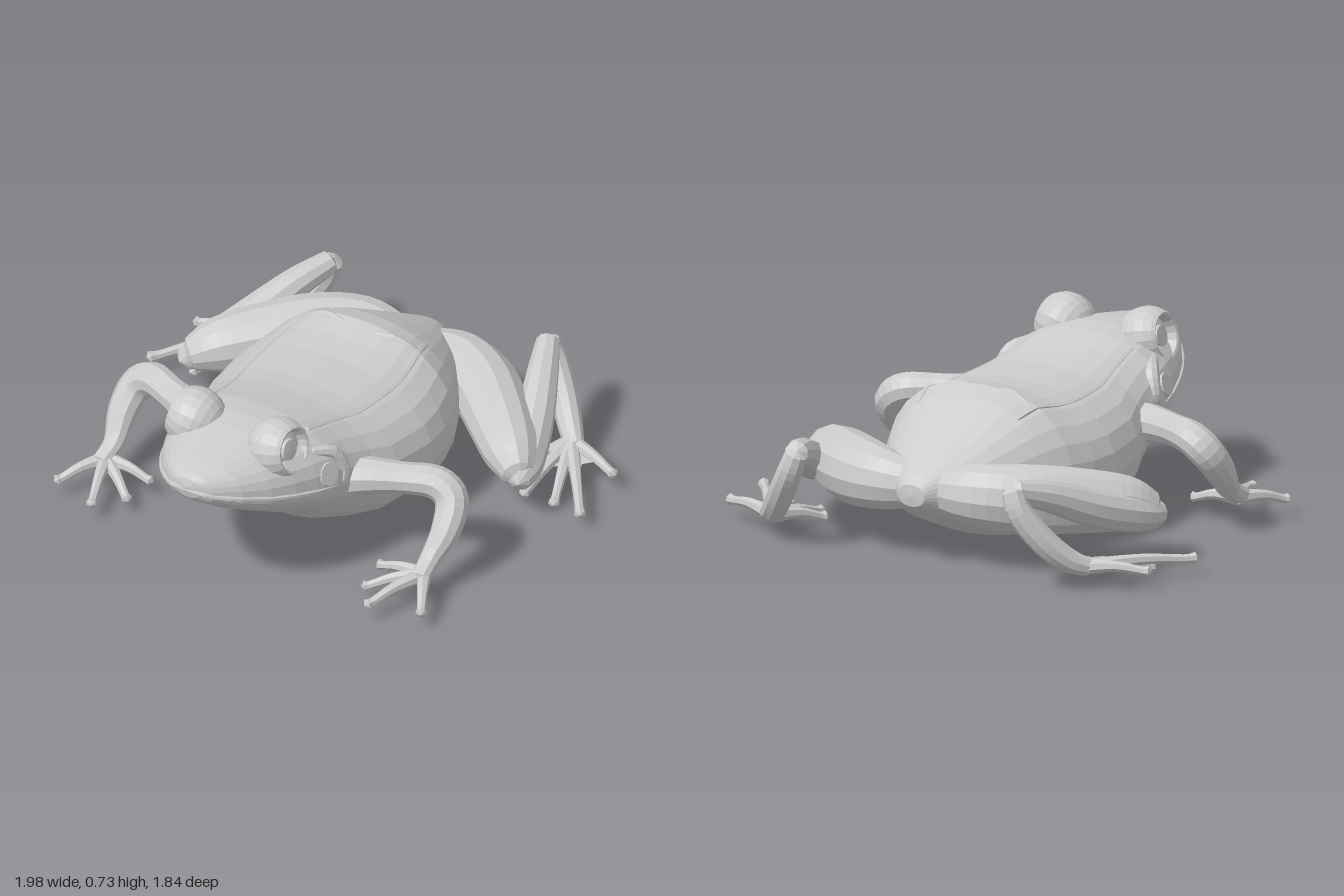
import * as THREE from 'three';

const V = (x, y, z) => new THREE.Vector3(x, y, z);
const grey = new THREE.MeshStandardMaterial({ color: 0xcccccc, flatShading: true });
const thin = new THREE.MeshStandardMaterial({ color: 0xcccccc, flatShading: true, side: THREE.DoubleSide });

// skin a list of equal-length rings, closing each end with a pole point
function loft(rings, startPole, endPole) {
  const n = rings[0].length, pos = [], idx = [];
  rings.flat().forEach(p => pos.push(p.x, p.y, p.z));
  const first = pos.length / 3, last = first + 1, end = (rings.length - 1) * n;
  pos.push(startPole.x, startPole.y, startPole.z, endPole.x, endPole.y, endPole.z);
  for (let i = 0; i < rings.length - 1; i++) {
    for (let j = 0; j < n; j++) {
      const a = i * n + j, b = i * n + (j + 1) % n;
      idx.push(a, a + n, b, b, a + n, b + n);
    }
  }
  for (let j = 0; j < n; j++) {
    const k = (j + 1) % n;
    idx.push(first, j, k, last, end + k, end + j);
  }
  const g = new THREE.BufferGeometry();
  g.setAttribute('position', new THREE.Float32BufferAttribute(pos, 3));
  g.setIndex(idx);
  g.computeVertexNormals();
  return g;
}

// tapered limb through points [x, y, z, radius], mirrored by s
function limb(pts, s, sides = 10, perSpan = 4) {
  const path = new THREE.CatmullRomCurve3(pts.map(p => V(p[0] * s, p[1], p[2])), false, 'catmullrom', 0.5);
  const radius = new THREE.CatmullRomCurve3(pts.map(p => V(p[3], 0, 0)), false, 'catmullrom', 0.5);
  const steps = (pts.length - 1) * perSpan, rings = [], normal = V(0, 1, 0);
  for (let i = 0; i <= steps; i++) {
    const t = i / steps, c = path.getPoint(t), T = path.getTangent(t), r = radius.getPoint(t).x;
    normal.addScaledVector(T, -T.dot(normal)).normalize();
    const B = T.clone().cross(normal);
    rings.push(Array.from({ length: sides }, (_, j) => {
      const a = j / sides * Math.PI * 2;
      return c.clone().addScaledVector(normal, r * Math.cos(a)).addScaledVector(B, -r * Math.sin(a));
    }));
  }
  const pole = (t, d) => path.getPoint(t).addScaledVector(path.getTangent(t), d * radius.getPoint(t).x * 0.6);
  return loft(rings, pole(0, -1), pole(1, 1));
}

// body sections: z, half width, top, widest height, bottom
const SECTIONS = [
  [0.905, 0.05, 0.6, 0.55, 0.515], [0.88, 0.1, 0.612, 0.535, 0.49], [0.8, 0.183, 0.63, 0.51, 0.43],
  [0.7, 0.252, 0.645, 0.48, 0.37], [0.6, 0.3, 0.66, 0.455, 0.31], [0.5, 0.335, 0.665, 0.43, 0.255],
  [0.4, 0.36, 0.654, 0.41, 0.185], [0.3, 0.375, 0.628, 0.37, 0.105], [0.2, 0.4, 0.605, 0.33, 0.056],
  [0.1, 0.44, 0.59, 0.29, 0.028], [-0.1, 0.465, 0.583, 0.27, 0.013], [-0.22, 0.45, 0.592, 0.26, 0.015],
  [-0.33, 0.418, 0.612, 0.26, 0.025], [-0.42, 0.375, 0.582, 0.26, 0.045], [-0.5, 0.33, 0.537, 0.26, 0.08],
  [-0.6, 0.27, 0.475, 0.265, 0.12], [-0.7, 0.185, 0.415, 0.27, 0.17], [-0.79, 0.09, 0.36, 0.285, 0.22],
  [-0.825, 0.06, 0.33, 0.285, 0.245]];

function skinPoint([z, w, top, mid, bottom], a) {
  const c = Math.cos(a), sn = Math.sin(a), e = sn > 0 ? 0.88 : 0.95;
  const x = w * Math.sign(c) * Math.abs(c) ** e;
  const y = mid + (sn > 0 ? top - mid : mid - bottom) * Math.sign(sn) * Math.abs(sn) ** e;
  return V(x, y, z);
}

export function createModel() {
  const model = new THREE.Group();
  model.name = 'frog';
  const add = (name, geometry, parent = model, material = grey) => {
    const m = new THREE.Mesh(geometry, material);
    m.name = name;
    parent.add(m);
    return m;
  };

  // torso and head in one skin
  const rings = SECTIONS.map(sec => Array.from({ length: 28 }, (_, j) => skinPoint(sec, j / 28 * Math.PI * 2)));
  add('body', loft(rings, V(0, 0.565, 0.917), V(0, 0.285, -0.83)));

  // lip running round the snout, fading out at the jaw corners
  const lipSide = s => SECTIONS.slice(0, 7).map((sec, i) => [(sec[1] - 0.003) * s, sec[3], sec[0], i === 6 ? 0.003 : 0.01]);
  add('lip', limb([...lipSide(-1).reverse(), ...lipSide(1)], 1, 6, 2));

  for (const s of [1, -1]) {
    const side = s > 0 ? 'left' : 'right';
    const group = name => {
      const g = new THREE.Group();
      g.name = side + name;
      model.add(g);
      return g;
    };

    // eye: domed lid with a wide rim, deep recess and raised pupil
    const profile = [];
    for (let i = 0; i <= 8; i++) {
      const a = -Math.PI / 2 + i / 8 * (Math.PI / 2 + 0.6);
      profile.push(new THREE.Vector2(Math.max(0, 0.122 * Math.cos(a)), 0.122 * Math.sin(a)));
    }
    [[0.09, 0.082], [0.08, 0.078], [0.07, 0.042], [0.045, 0.05], [0.04, 0.06], [0, 0.062]]
      .forEach(p => profile.push(new THREE.Vector2(...p)));
    const eye = add(side + 'Eye', new THREE.LatheGeometry(profile, 18));
    eye.position.set(0.187 * s, 0.613, 0.56);
    eye.quaternion.setFromUnitVectors(V(0, 1, 0), V(s, 0.22, 0.08).normalize());

    // eardrum with the fold above it, nostril, back fold and hip bump
    const ear = add(side + 'Eardrum', new THREE.CylinderGeometry(0.045, 0.056, 0.03, 12));
    ear.position.set(0.332 * s, 0.475, 0.44);
    ear.quaternion.setFromUnitVectors(V(0, 1, 0), V(s, 0.35, 0.2).normalize());
    add(side + 'EarFold', limb([[0.27, 0.565, 0.46, 0.02], [0.315, 0.535, 0.38, 0.03], [0.348, 0.46, 0.35, 0.026], [0.355, 0.41, 0.37, 0.012]], s, 8, 3));
    add(side + 'Nostril', limb([[0.075, 0.592, 0.85, 0.008], [0.085, 0.598, 0.82, 0.013], [0.1, 0.6, 0.78, 0.007]], s, 6, 2));
    const fold = SECTIONS.slice(6, 14).map(sec => {
      const p = skinPoint(sec, 1.0);
      return [p.x, p.y - 0.013, p.z, 0.016];
    });
    add(side + 'BackFold', limb(fold, s, 6, 2));
    add(side + 'HipBump', limb([[0.06, 0.588, -0.3, 0.014], [0.14, 0.584, -0.32, 0.022], [0.22, 0.545, -0.34, 0.022], [0.27, 0.51, -0.36, 0.01]], s, 8, 2));

    // digits fan out from a palm, each ending in a small pad
    const digits = (name, parent, base, tips, r) => tips.forEach(([x, y, z]) => {
      const at = t => [base[0] + (x - base[0]) * t, base[1] + (y - base[1]) * t, base[2] + (z - base[2]) * t];
      const mid = at(0.5);
      mid[1] += 0.012;
      add(name, limb([[...base, r * 1.45], [...mid, r], [...at(0.87), r * 0.8], [...at(0.97), r * 1.05]], s, 7, 3), parent);
    });

    // front leg
    const front = group('FrontLeg');
    add('arm', limb([[0.29, 0.36, 0.28, 0.09], [0.39, 0.38, 0.25, 0.075], [0.52, 0.388, 0.2, 0.062],
      [0.64, 0.382, 0.15, 0.066], [0.712, 0.33, 0.155, 0.066], [0.73, 0.24, 0.225, 0.058],
      [0.715, 0.155, 0.305, 0.042], [0.72, 0.11, 0.39, 0.037]], s), front);
    digits('finger', front, [0.718, 0.11, 0.36],
      [[0.825, 0.075, 0.55], [0.62, 0.08, 0.62], [0.53, 0.065, 0.5], [0.51, 0.08, 0.36]], 0.021);

    // hind leg folded beside the body
    const hind = group('HindLeg');
    add('thigh', limb([[0.06, 0.29, -0.69, 0.09], [0.22, 0.29, -0.685, 0.122], [0.38, 0.28, -0.6, 0.135],
      [0.53, 0.265, -0.47, 0.128], [0.66, 0.245, -0.345, 0.108], [0.74, 0.215, -0.27, 0.065]], s, 12), hind);
    add('shank', limb([[0.755, 0.2, -0.25, 0.045], [0.725, 0.21, -0.34, 0.07], [0.645, 0.265, -0.53, 0.075],
      [0.56, 0.345, -0.72, 0.062], [0.492, 0.39, -0.865, 0.046]], s), hind);
    add('ankle', limb([[0.488, 0.39, -0.872, 0.044], [0.52, 0.31, -0.873, 0.05], [0.59, 0.2, -0.825, 0.053],
      [0.66, 0.12, -0.76, 0.048], [0.72, 0.085, -0.7, 0.036]], s), hind);
    const heel = [0.69, 0.085, -0.72];
    const toes = [[0.95, 0.085, -0.62], [0.98, 0.075, -0.33], [0.82, 0.03, -0.39], [0.68, 0.025, -0.39], [0.59, 0.04, -0.5]];
    digits('toe', hind, heel, toes, 0.022);

    // webbing between neighbouring toes
    const web = [], reach = (p, t) => heel.map((h, k) => (h + (p[k] - h) * t) * (k ? 1 : s));
    for (let i = 0; i < toes.length - 1; i++) {
      const a = reach(toes[i], 0.6), b = reach(toes[i + 1], 0.5);
      const notch = reach(toes[i].map((v, k) => (v + toes[i + 1][k]) / 2), 0.42);
      web.push(...reach(heel, 0), ...a, ...notch, ...reach(heel, 0), ...notch, ...b);
    }
    const webGeometry = new THREE.BufferGeometry();
    webGeometry.setAttribute('position', new THREE.Float32BufferAttribute(web, 3));
    webGeometry.computeVertexNormals();
    add('toeWeb', webGeometry, hind, thin);
  }
  return model;
}
